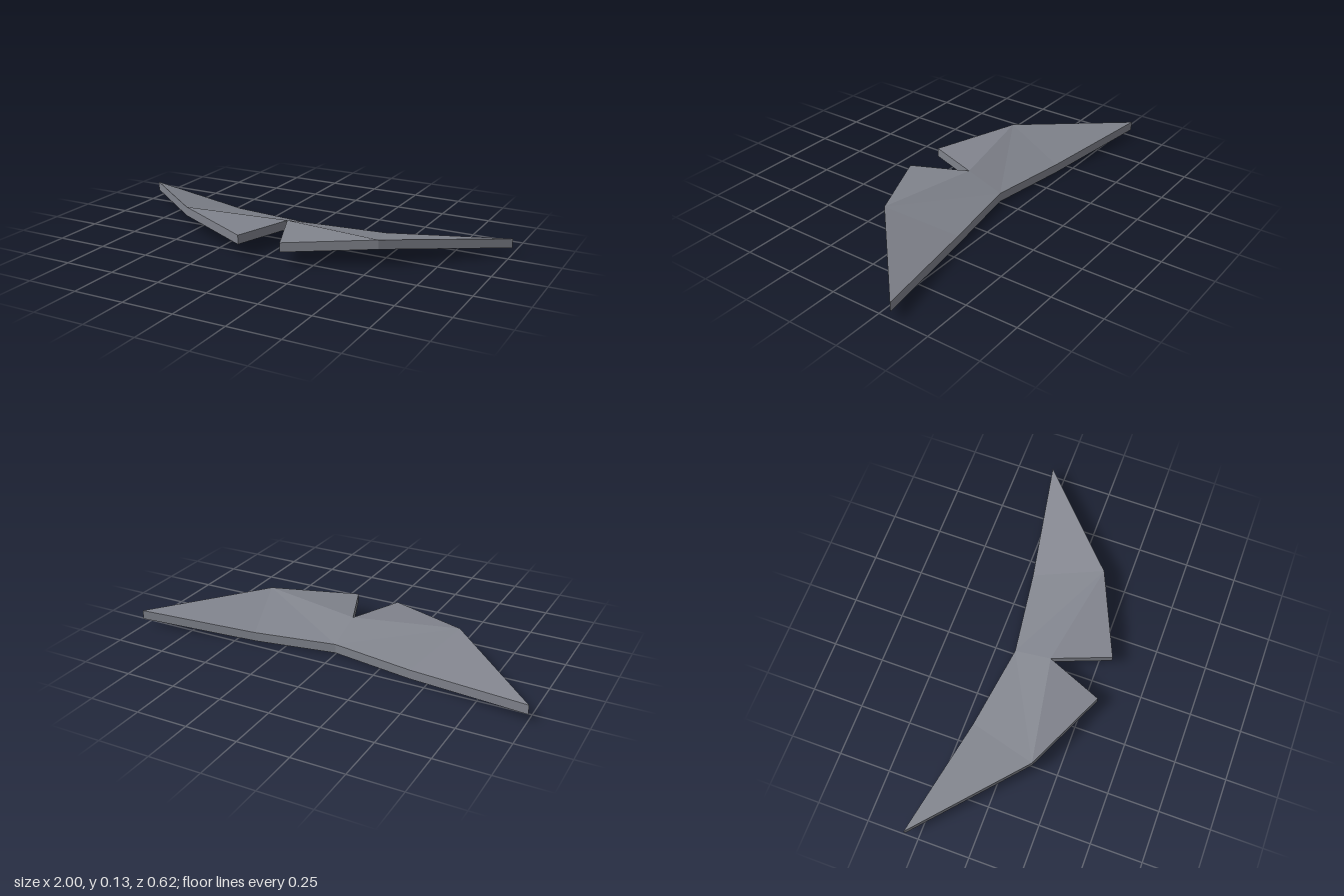
import * as THREE from 'three';

const THICKNESS = 0.045;

// Underside corners of the left half: [x, y, z]
const HALF = {
  notch: [0, 0.069, 0.036],
  lobe: [0.11, 0.06, 0.312],
  elbow: [0.515, 0.085, 0.13],
  tip: [1, 0.035, -0.312],
  trail: [0.41, 0, -0.205],
  spine: [0, 0.006, -0.147],
};

// Folded facets of one half, and its outer rim running from notch to spine
const FACETS = [
  ['notch', 'lobe', 'elbow'],
  ['notch', 'elbow', 'spine'],
  ['spine', 'elbow', 'trail'],
  ['trail', 'elbow', 'tip'],
];
const RIM = ['notch', 'lobe', 'elbow', 'tip', 'trail', 'spine'];

// One half of the folded plate; side is +1 for left, -1 for right
function halfPlate(side) {
  const positions = [];
  const corner = (name, lift) => {
    const [x, y, z] = HALF[name];
    return [x * side, y + lift, z];
  };
  const triangle = (a, b, c) => {
    const order = side > 0 ? [a, b, c] : [a, c, b];
    order.forEach((p) => positions.push(...p));
  };

  // Upper and lower skins
  for (const [a, b, c] of FACETS) {
    triangle(corner(a, THICKNESS), corner(b, THICKNESS), corner(c, THICKNESS));
    triangle(corner(a, 0), corner(c, 0), corner(b, 0));
  }

  // Vertical edge walls
  for (let i = 0; i < RIM.length - 1; i++) {
    const a = corner(RIM[i], 0);
    const b = corner(RIM[i + 1], 0);
    const aTop = corner(RIM[i], THICKNESS);
    const bTop = corner(RIM[i + 1], THICKNESS);
    triangle(a, b, bTop);
    triangle(a, bTop, aTop);
  }

  const geometry = new THREE.BufferGeometry();
  geometry.setAttribute('position', new THREE.Float32BufferAttribute(positions, 3));
  geometry.computeVertexNormals();
  return geometry;
}

export function createModel() {
  const group = new THREE.Group();
  group.name = 'sweptWing';

  const greyMetal = new THREE.MeshStandardMaterial({ color: 0x80838c });
  greyMetal.name = 'blue grey';

  for (const [name, side] of [['leftWing', 1], ['rightWing', -1]]) {
    const wing = new THREE.Mesh(halfPlate(side), greyMetal);
    wing.name = name;
    group.add(wing);
  }
  return group;
}
